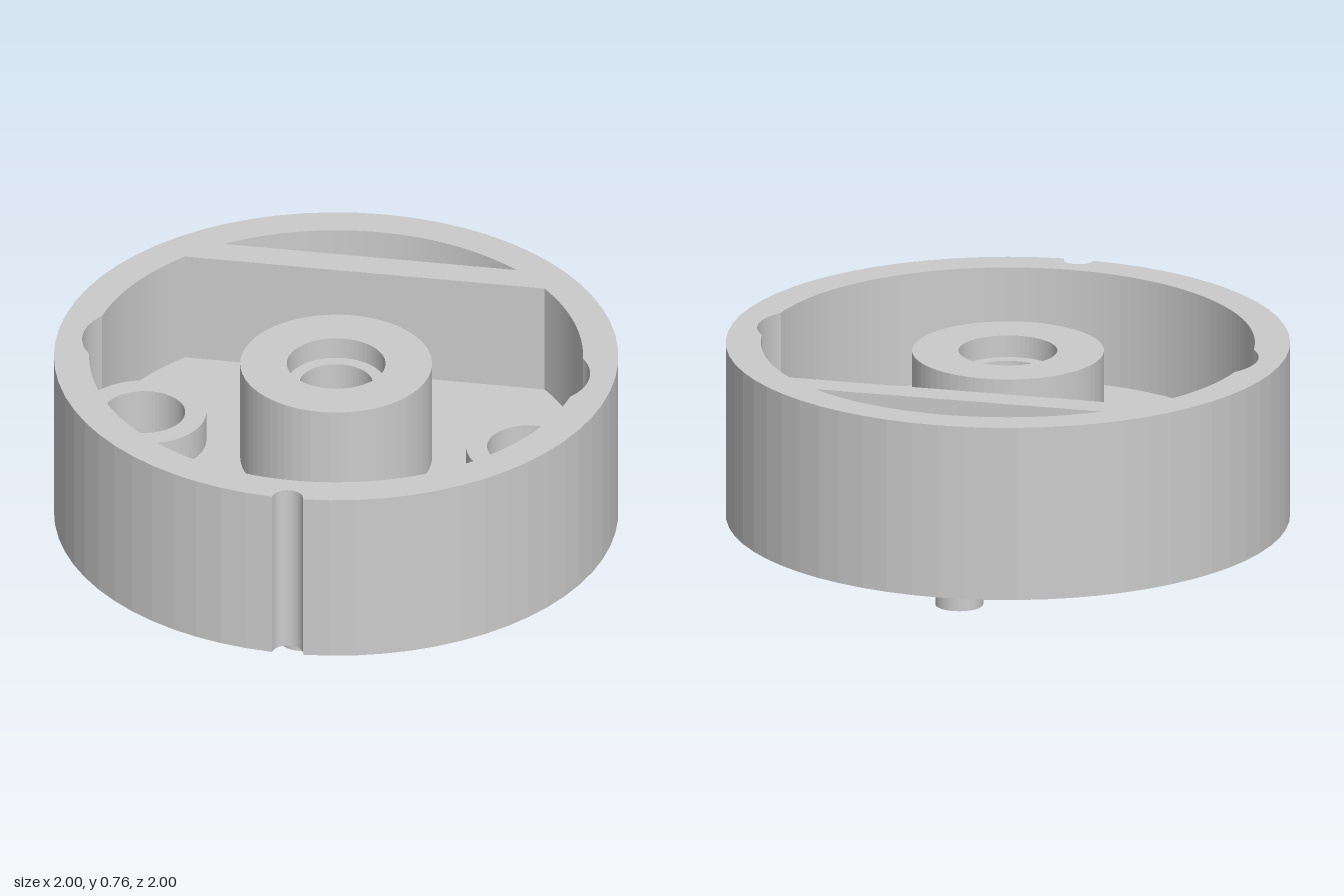
import * as THREE from 'three';

const BASE = 0.12, RECESS = 0.18, FLOOR = 0.345, RIM = 0.76;
const CAVITY_R = 0.875, SIDE_X = 0.69, SIDE_R = 0.22, BORE_R = 0.13, SIDE_BORE_R = 0.145;

const circle = (r, x = 0, Type = THREE.Path) => {
  const p = new Type();
  p.absarc(x, 0, r, 0, Math.PI * 2, false);
  return p;
};

// Round outer outline with the small half-round groove at the front
function outerOutline() {
  const s = new THREE.Shape(), g = 0.055;
  s.absarc(0, 0, 1, -Math.PI / 2 + g, Math.PI * 1.5 - g, false);
  s.absarc(0, -1, g, Math.PI - g / 2, g / 2, true);
  return s;
}

// Round cavity with a flat back wall and a bulge around each side boss
function cavityOutline() {
  const p = new THREE.Path(), PI = Math.PI;
  const x = (CAVITY_R ** 2 + SIDE_X ** 2 - SIDE_R ** 2) / (2 * SIDE_X);
  const b = Math.acos(x / CAVITY_R), c = Math.acos((x - SIDE_X) / SIDE_R);
  const chord = Math.asin(0.59 / CAVITY_R);
  p.absarc(0, 0, CAVITY_R, chord, b, true);
  p.absarc(SIDE_X, 0, SIDE_R, c, -c, true);
  p.absarc(0, 0, CAVITY_R, -b, -PI + b, true);
  p.absarc(-SIDE_X, 0, SIDE_R, -PI + c, -PI - c, true);
  p.absarc(0, 0, CAVITY_R, -PI - b, -PI - chord, true);
  p.closePath();
  return p;
}

// Crescent pocket behind the flat wall
function pocketOutline() {
  const p = new THREE.Path(), a = Math.asin(0.70 / CAVITY_R);
  p.absarc(0, 0, CAVITY_R, a, Math.PI - a, false);
  p.closePath();
  return p;
}

export function createModel() {
  const group = new THREE.Group();
  const material = new THREE.MeshStandardMaterial({ color: 0xcccccc });

  const add = (name, geometry) => {
    const mesh = new THREE.Mesh(geometry, material);
    mesh.name = name;
    group.add(mesh);
    return mesh;
  };
  // Upright slab between two heights
  const slab = (name, shape, holes, y0, y1) => {
    shape.holes.push(...holes);
    const geo = new THREE.ExtrudeGeometry(shape, { depth: y1 - y0, bevelEnabled: false, curveSegments: 32 });
    geo.rotateX(-Math.PI / 2).translate(0, y0, 0);
    return add(name, geo);
  };
  const sideBores = () => [-1, 1].map((s) => circle(SIDE_BORE_R, s * SIDE_X));

  // Housing: recessed underside, floor and wall
  slab('underside', outerOutline(), [circle(0.375), ...sideBores()], BASE, RECESS);
  slab('floor', outerOutline(), [circle(BORE_R), ...sideBores()], RECESS, FLOOR);
  slab('wall', outerOutline(), [cavityOutline(), pocketOutline()], FLOOR, RIM);

  // Central boss with a counterbore
  slab('centreBossLower', circle(0.34, 0, THREE.Shape), [circle(BORE_R)], FLOOR, 0.65);
  slab('centreBossUpper', circle(0.34, 0, THREE.Shape), [circle(0.175)], 0.65, 0.73);

  // Side bosses and locating pins
  for (const s of [-1, 1]) {
    const side = s > 0 ? 'left' : 'right';
    slab(side + 'Boss', circle(SIDE_R, s * SIDE_X, THREE.Shape), [circle(SIDE_BORE_R, s * SIDE_X)], FLOOR, 0.46);
    const pin = add(s > 0 ? 'frontPin' : 'backPin', new THREE.CylinderGeometry(0.085, 0.085, 0.14, 48));
    pin.position.set(0, 0.07, s * SIDE_X);
  }
  return group;
}
